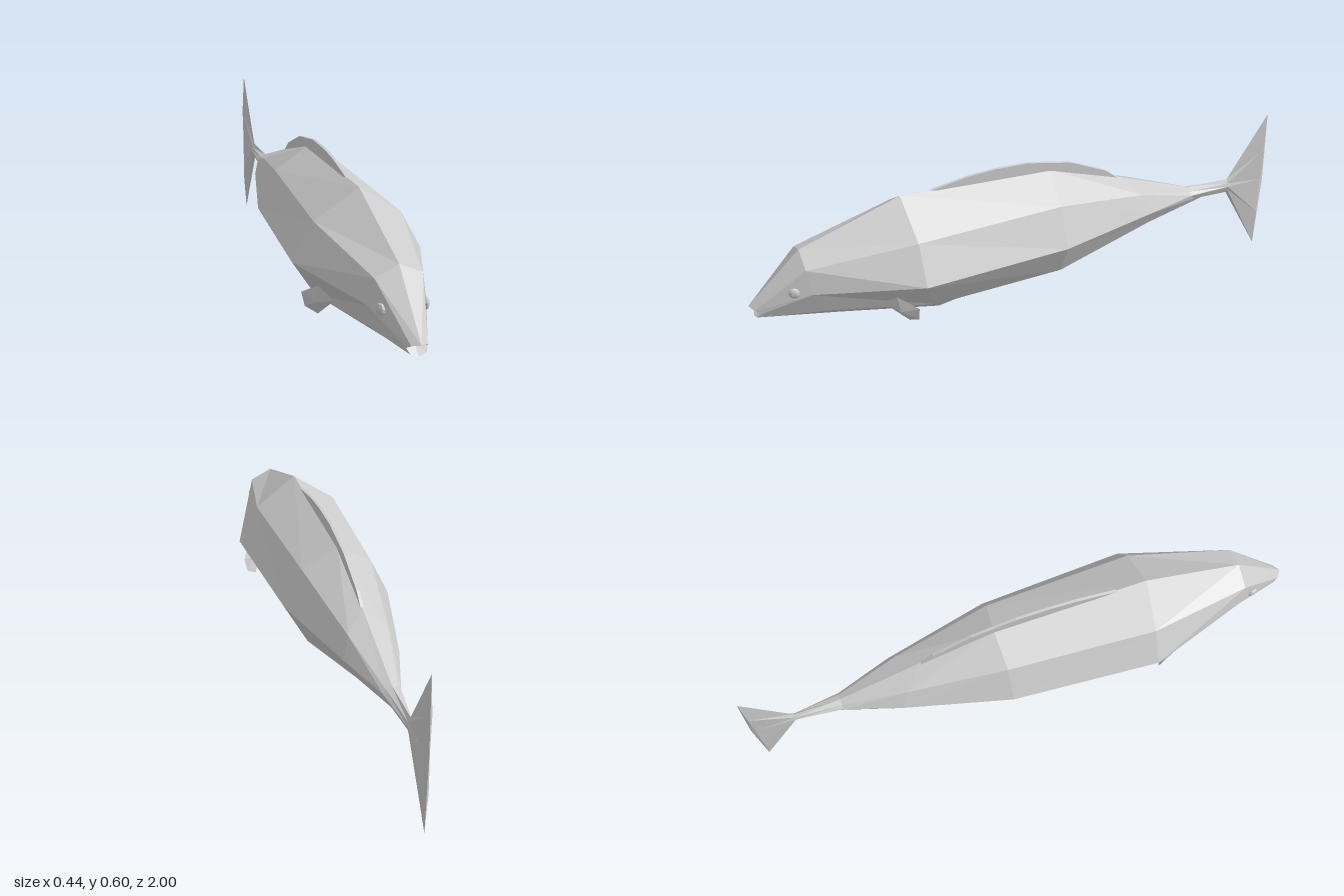
import * as THREE from 'three';

const grey = (side = THREE.FrontSide) =>
  new THREE.MeshStandardMaterial({ color: 0xcccccc, flatShading: true, side });

function meshFrom(name, triangles, side) {
  const geo = new THREE.BufferGeometry();
  geo.setAttribute('position', new THREE.Float32BufferAttribute(triangles.flat(), 3));
  geo.computeVertexNormals();
  const mesh = new THREE.Mesh(geo, grey(side));
  mesh.name = name;
  return mesh;
}

// Complete a half ring (top to keel on the +x side) with its mirror image
const fullRing = half =>
  [...half, ...half.slice(1, -1).reverse().map(([x, y, z]) => [-x, y, z])];

// Skin rings running front to back, closed at each end by a fan to a point
function loft(name, halves, frontPoint, backPoint) {
  const rings = halves.map(fullRing);
  const n = rings[0].length;
  const tris = [];
  for (let j = 0; j < n; j++) {
    const k = (j + 1) % n;
    for (let i = 0; i < rings.length - 1; i++) {
      const a = rings[i][j], b = rings[i][k], c = rings[i + 1][k], d = rings[i + 1][j];
      // Mirror the diagonal so both flanks fold alike
      if (j < n / 2) tris.push(a, b, c, a, c, d);
      else tris.push(a, b, d, b, c, d);
    }
    const last = rings[rings.length - 1];
    tris.push(frontPoint, rings[0][k], rings[0][j], backPoint, last[j], last[k]);
  }
  return meshFrom(name, tris);
}

// Half rings: top ridge, upper flank, side, lower flank, keel
const tailRoot = [[0, 0.33, -0.84], [0.008, 0.315, -0.84], [0.012, 0.302, -0.84], [0.008, 0.29, -0.84], [0, 0.272, -0.84]];
const bodyRings = [
  [[0, 0.28, 1], [0.026, 0.274, 0.985], [0.034, 0.26, 0.965], [0.026, 0.245, 0.98], [0, 0.236, 0.985]],
  [[0, 0.46, 0.81], [0.078, 0.423, 0.81], [0.095, 0.333, 0.8], [0.07, 0.236, 0.75], [0, 0.165, 0.7]],
  [[0, 0.58, 0.45], [0.15, 0.476, 0.44], [0.222, 0.342, 0.44], [0.125, 0.19, 0.38], [0, 0.08, 0.33]],
  [[0, 0.55, -0.1], [0.125, 0.472, -0.09], [0.19, 0.335, -0.09], [0.11, 0.19, -0.1], [0, 0.155, -0.11]],
  [[0, 0.455, -0.37], [0.07, 0.4, -0.44], [0.097, 0.33, -0.47], [0.055, 0.262, -0.48], [0, 0.232, -0.48]],
  [[0, 0.337, -0.67], [0.02, 0.328, -0.67], [0.032, 0.316, -0.67], [0.02, 0.292, -0.69], [0, 0.277, -0.74]],
  tailRoot,
];
const tailEdge = [[0, 0.577, -0.99], [0.01, 0.43, -0.985], [0.008, 0.3, -0.985], [0.01, 0.15, -0.985], [0, 0, -0.99]];

// Thin fin standing along the back, outlined in (z, y)
function dorsalFin() {
  const outline = [[0.34, 0.575], [0.2, 0.597], [0.1, 0.602], [-0.02, 0.597], [-0.18, 0.562],
    [-0.32, 0.495], [-0.37, 0.452], [-0.1, 0.53], [0.2, 0.55]];
  const shape = new THREE.Shape(outline.map(([z, y]) => new THREE.Vector2(z, y)));
  const geo = new THREE.ExtrudeGeometry(shape, { depth: 0.01, bevelEnabled: false });
  geo.rotateY(-Math.PI / 2).translate(0.004, 0, 0);
  const mesh = new THREE.Mesh(geo, grey());
  mesh.name = 'dorsalFin';
  return mesh;
}

// Small five-sided side fin, folded around its centre
function pectoralFin(name, s) {
  const rim = [[0.165, 0.292, 0.53], [0.2, 0.247, 0.465], [0.188, 0.195, 0.465], [0.15, 0.172, 0.487], [0.122, 0.248, 0.567]]
    .map(([x, y, z]) => [s * x, y, z]);
  const tris = rim.flatMap((p, i) => {
    const q = rim[(i + 1) % rim.length];
    return [0.008, -0.008].flatMap(t => {
      const centre = [s * (0.162 + t), 0.23, 0.515 + t];
      return (t > 0) === (s > 0) ? [centre, p, q] : [centre, q, p];
    });
  });
  return meshFrom(name, tris, THREE.DoubleSide);
}

function eye(name, s) {
  const mesh = new THREE.Mesh(new THREE.SphereGeometry(0.02, 7, 5), grey());
  mesh.scale.set(0.5, 1, 1);
  mesh.rotation.y = -s * 0.35;
  mesh.position.set(s * 0.073, 0.341, 0.855);
  mesh.name = name;
  return mesh;
}

export function createModel() {
  const fish = new THREE.Group();
  fish.name = 'fish';
  fish.add(
    loft('body', bodyRings, [0, 0.262, 0.95], [0, 0.3, -0.84]),
    loft('tailFin', [tailRoot, tailEdge], [0, 0.3, -0.83], [0, 0.3, -1]),
    dorsalFin(),
  );
  for (const [side, s] of [['left', 1], ['right', -1]]) {
    fish.add(pectoralFin(side + 'PectoralFin', s), eye(side + 'Eye', s));
  }
  return fish;
}
